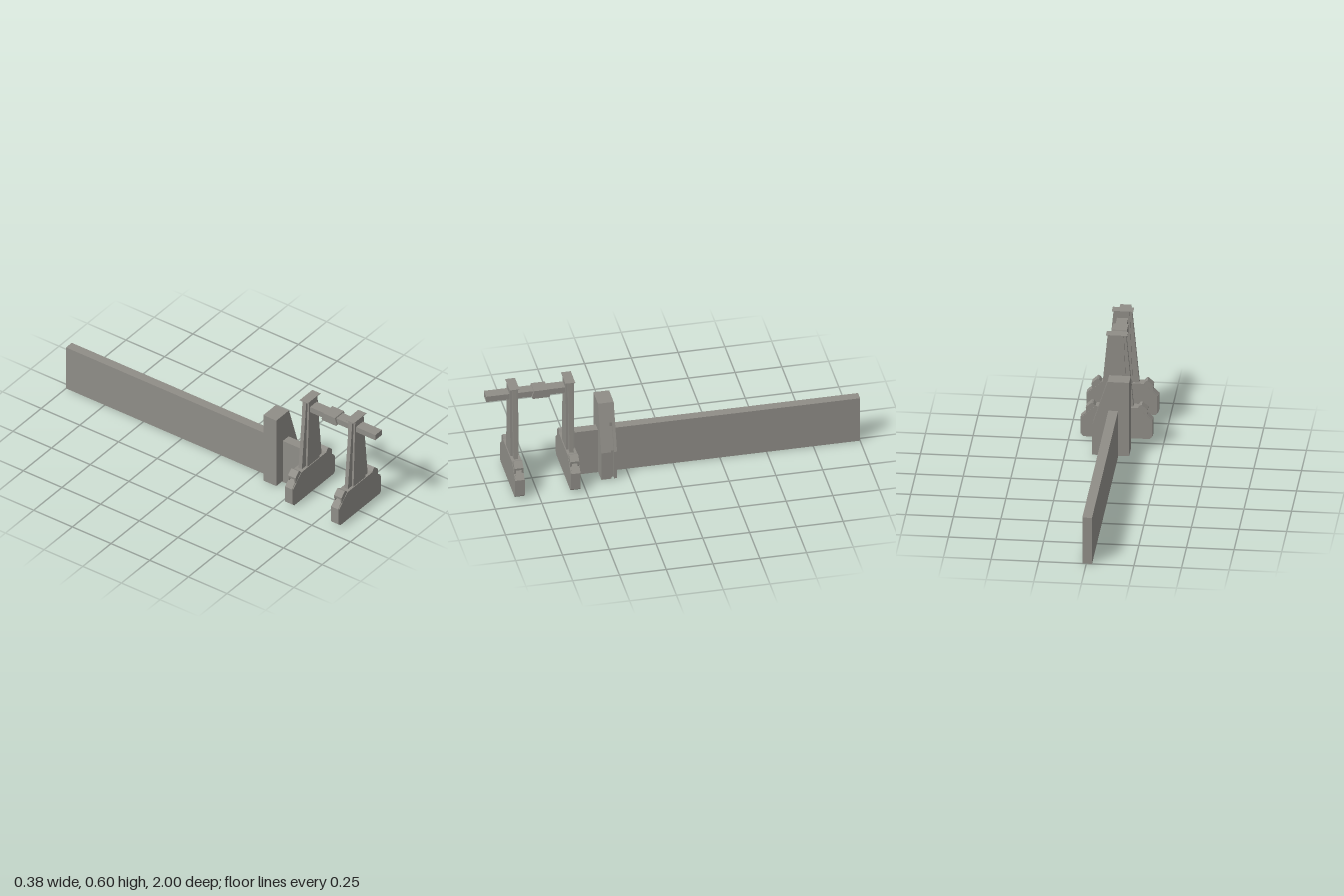
import * as THREE from 'three';

const stone = new THREE.MeshStandardMaterial({ color: 0x8f8d87 });
stone.name = 'stone grey';

// Extrude an x-y outline between two z positions
function slab(name, pts, z0, z1) {
  const shape = new THREE.Shape(pts.map(([x, y]) => new THREE.Vector2(x, y)));
  const geo = new THREE.ExtrudeGeometry(shape, { depth: z1 - z0, bevelEnabled: false });
  geo.translate(0, 0, z0);
  const mesh = new THREE.Mesh(geo, stone);
  mesh.name = name;
  return mesh;
}

function box(name, x0, x1, y0, y1, z0, z1) {
  const mesh = new THREE.Mesh(new THREE.BoxGeometry(x1 - x0, y1 - y0, z1 - z0), stone);
  mesh.position.set((x0 + x1) / 2, (y0 + y1) / 2, (z0 + z1) / 2);
  mesh.name = name;
  return mesh;
}

// Complete a right-hand outline (bottom to top) with its mirror image
const mirrored = (pts) => [...pts, ...pts.map(([x, y]) => [-x, y]).reverse()];

function createTower() {
  const tower = new THREE.Group();
  tower.name = 'tower';

  // Chamfered base with a slightly prouder band around its edge
  tower.add(slab('towerBase', mirrored([[0.174, 0.011], [0.185, 0.022], [0.185, 0.118], [0.112, 0.187]]), -0.026, 0.026));
  tower.add(slab('baseBand', mirrored([[0.17, 0.024], [0.189, 0.024], [0.189, 0.12], [0.118, 0.186]]), -0.021, 0.021));

  // Tapered column: thick core with thinner fins at the sides
  tower.add(slab('columnCore', mirrored([[0.053, 0.18], [0.037, 0.598]]), -0.022, 0.022));
  tower.add(slab('columnFins', mirrored([[0.088, 0.18], [0.048, 0.598]]), -0.011, 0.011));
  tower.add(box('columnCap', -0.056, 0.056, 0.597, 0.6, -0.026, 0.026));

  // Hooded bumps on the sloping shoulders, open at the lower end
  const cheek = [[0.105, 0.18], [0.155, 0.135], [0.16, 0.15], [0.162, 0.177], [0.132, 0.205], [0.123, 0.202]];
  const hood = [[0.105, 0.18], [0.145, 0.145], [0.15, 0.165], [0.161, 0.165], [0.162, 0.177], [0.132, 0.205], [0.123, 0.202]];
  for (const side of [1, -1]) {
    const flip = (pts) => pts.map(([x, y]) => [x * side, y]);
    tower.add(slab('shoulderHood', flip(hood), -0.015, 0.015));
    tower.add(slab('shoulderCheek', flip(cheek), -0.024, -0.015));
    tower.add(slab('shoulderCheek', flip(cheek), 0.015, 0.024));
  }
  return tower;
}

export function createModel() {
  const model = new THREE.Group();
  model.name = 'wallWithTowers';

  // Long wall
  model.add(box('wall', -0.03, 0.021, 0, 0.265, -1, 0.545));

  // Buttress with a narrow groove in its sloping side
  const full = [[-0.088, 0.007], [0.107, 0.007], [0.107, 0.172], [0.025, 0.43], [-0.088, 0.43]];
  const cut = [[-0.088, 0.007], [0.09, 0.007], [0.09, 0.172], [0.05, 0.298], [0.05, 0.325], [0.058, 0.325], [0.025, 0.43], [-0.088, 0.43]];
  model.add(slab('buttressBack', full, 0.318, 0.333));
  model.add(slab('buttressGroove', cut, 0.333, 0.349));
  model.add(slab('buttressFront', full, 0.349, 0.402));

  // Two matching towers
  for (const z of [0.556, 0.854]) {
    const tower = createTower();
    tower.position.z = z;
    model.add(tower);
  }

  // Beam through the tower tops, with a tapered collar between them
  model.add(box('beam', -0.03, 0.029, 0.527, 0.56, 0.556, 1));
  const collar = slab('beamCollar', mirrored([[0.045, 0.519], [0.049, 0.528], [0.037, 0.566]]), -0.04, 0.04);
  collar.rotation.y = Math.PI / 2;
  collar.position.z = 0.709;
  model.add(collar);

  return model;
}
